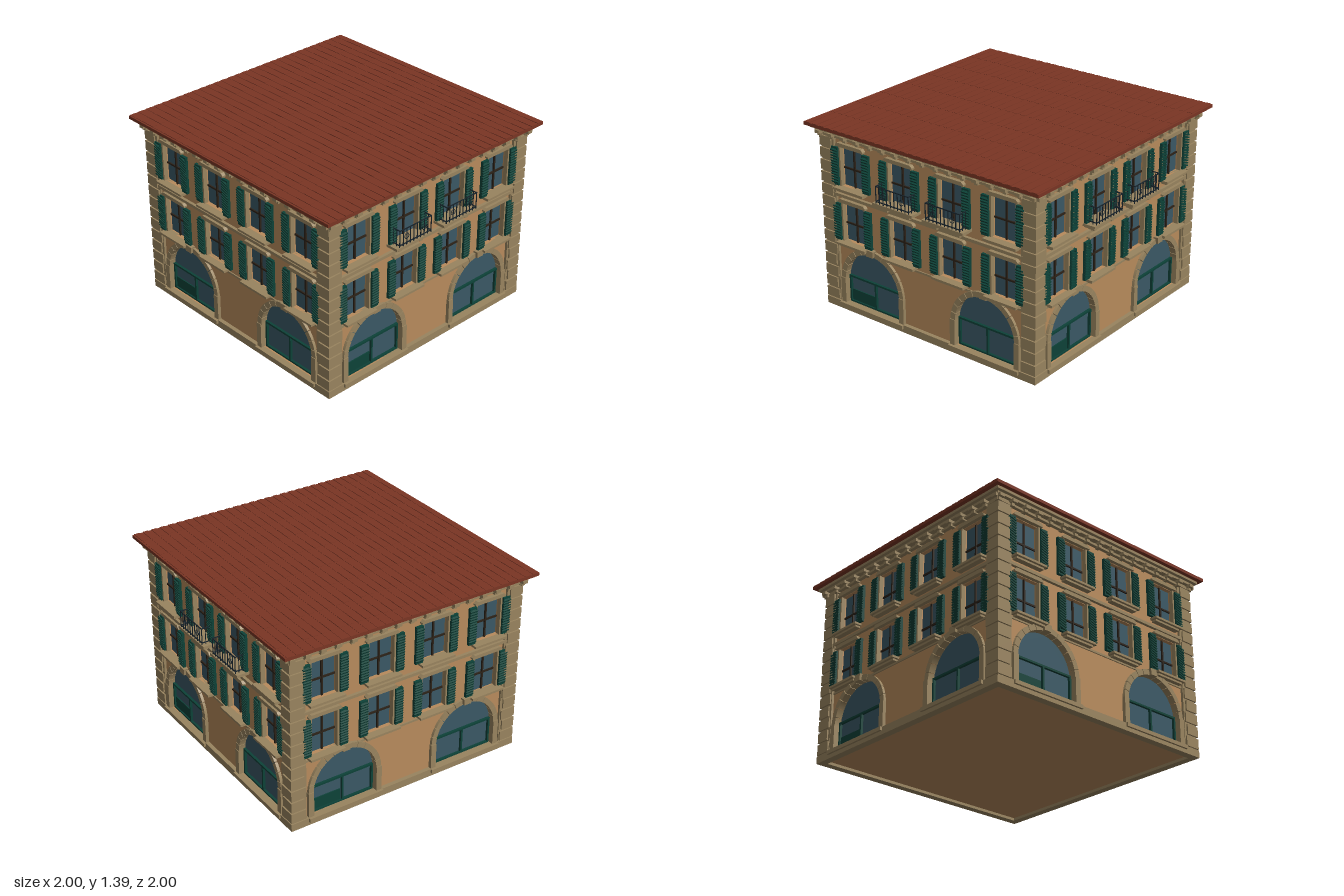
import * as THREE from 'three';
import { mergeGeometries } from 'three/addons/utils/BufferGeometryUtils.js';

const mat = (name, color) => {
  const m = new THREE.MeshStandardMaterial({ color });
  m.name = name;
  return m;
};

const WALL = 0.9, ARCH_R = 0.255, ARCH_Y = 0.235;
const ARCHES = [-0.5, 0.5];
const WINDOWS = [-0.657, -0.218, 0.218, 0.657];
const FLOORS = [{ y0: 0.53, y1: 0.82 }, { y0: 0.942, y1: 1.235 }];

const box = (x0, x1, y0, y1, z0, z1) =>
  new THREE.BoxGeometry(x1 - x0, y1 - y0, z1 - z0)
    .translate((x0 + x1) / 2, (y0 + y1) / 2, (z0 + z1) / 2);

const extrude = (shape, z0, z1) =>
  new THREE.ExtrudeGeometry(shape, { depth: z1 - z0, bevelEnabled: false, curveSegments: 20 }).translate(0, 0, z0);

const poly = pts => new THREE.Shape(pts.map(p => new THREE.Vector2(p[0], p[1])));

// Round-headed outline of an arcade opening
function archOutline(cx, Type = THREE.Shape) {
  const s = new Type();
  s.moveTo(cx - ARCH_R, 0.055);
  s.lineTo(cx + ARCH_R, 0.055);
  s.lineTo(cx + ARCH_R, ARCH_Y);
  s.absarc(cx, ARCH_Y, ARCH_R, 0, Math.PI, false);
  s.lineTo(cx - ARCH_R, 0.055);
  return s;
}

// Merges the pieces of one part into a named mesh
function part(group, name, material, geos) {
  const mesh = new THREE.Mesh(mergeGeometries(geos.map(g => (g.index ? g.toNonIndexed() : g))), material);
  mesh.name = name;
  group.add(mesh);
}

function buildFacade(M, hasBalconies, rolledSlats) {
  const g = new THREE.Group();

  // Wall with openings
  const wall = poly([[-WALL, 0.02], [WALL, 0.02], [WALL, 1.33], [-WALL, 1.33]]);
  ARCHES.forEach(cx => wall.holes.push(archOutline(cx, THREE.Path)));
  for (const { y0, y1 } of FLOORS) for (const cx of WINDOWS) {
    const p = new THREE.Path();
    p.moveTo(cx - 0.1, y0);
    p.lineTo(cx + 0.1, y0);
    p.lineTo(cx + 0.1, y1);
    p.lineTo(cx - 0.1, y1);
    p.lineTo(cx - 0.1, y0);
    wall.holes.push(p);
  }
  part(g, 'wall', M.plaster, [extrude(wall, 0.85, WALL)]);

  // Plinth, string courses and cornice brackets
  const bands = [
    box(-0.93, 0.93, 0, 0.055, 0.875, 0.93),
    box(-0.81, 0.81, 0.488, 0.503, 0.89, 0.908),
    box(-0.925, 0.925, 0.863, 0.885, 0.89, 0.922),
    box(-0.925, 0.925, 1.293, 1.31, 0.89, 0.925),
  ];
  part(g, 'stringCourses', M.stone, bands);
  const brackets = [];
  for (let i = 0; i < 17; i++) {
    const x = -0.92 + i * 0.115;
    brackets.push(box(x - 0.02, x + 0.02, 1.305, 1.328, 0.9, 0.96));
    brackets.push(box(x - 0.014, x + 0.014, 1.284, 1.306, 0.9, 0.94));
  }
  part(g, 'corniceBrackets', M.stone, brackets);

  // Arcade: glass, surrounds, shop fronts
  const glass = [], surround = [], shop = [];
  for (const cx of ARCHES) {
    glass.push(extrude(archOutline(cx), 0.862, 0.87));
    for (const s of [-1, 1]) {
      const a = cx + s * 0.25, b = cx + s * 0.292;
      surround.push(box(Math.min(a, b), Math.max(a, b), 0.05, ARCH_Y + 0.01, 0.87, 0.925));
    }
    surround.push(box(cx - 0.295, cx + 0.295, 0.028, 0.055, 0.9, 0.945));
    const n = 13;
    for (let i = 0; i < n; i++) {
      const key = i === 6, a0 = (i / n) * Math.PI + 0.008, a1 = ((i + 1) / n) * Math.PI - 0.008;
      const v = new THREE.Shape();
      v.absarc(cx, ARCH_Y, key ? 0.298 : 0.289, a0, a1, false);
      v.absarc(cx, ARCH_Y, 0.25, a1, a0, true);
      surround.push(extrude(v, 0.87, key ? 0.935 : 0.92));
    }
    const l = cx - 0.245, r = cx + 0.245;
    shop.push(box(l, r, 0.055, 0.067, 0.866, 0.888), box(l, r, 0.248, 0.262, 0.866, 0.888));
    for (const x of [l, cx - 0.007, r - 0.014]) shop.push(box(x, x + 0.014, 0.055, 0.26, 0.866, 0.888));
  }
  shop.push(box(-0.73, -0.515, 0.065, 0.15, 0.866, 0.878));
  part(g, 'archSurrounds', M.stone, surround);
  part(g, 'shopFronts', M.green, shop);

  // Upper windows: panes, bars, surrounds and louvred shutters
  const bars = [], trim = [], shutters = [];
  FLOORS.forEach(({ y0, y1 }, f) => WINDOWS.forEach((cx, w) => {
    glass.push(box(cx - 0.105, cx + 0.105, y0 - 0.005, y1 + 0.005, 0.862, 0.87));
    const ym = y0 + (y1 - y0) * 0.45;
    bars.push(box(cx - 0.006, cx + 0.006, y0, y1, 0.866, 0.882));
    bars.push(box(cx - 0.1, cx + 0.1, ym - 0.006, ym + 0.006, 0.866, 0.88));
    for (const s of [-1, 1]) {
      const tx = cx + s * 0.106;
      trim.push(box(tx - 0.007, tx + 0.007, y0, y1 + 0.005, 0.88, 0.912));
      // Shutter leaf
      const sx = cx + s * 0.141, b = y0 + 0.005, t = y1 - 0.008;
      for (const e of [-1, 1]) {
        const ex = sx + e * 0.025;
        shutters.push(box(ex - 0.004, ex + 0.004, b, t, 0.905, 0.925));
      }
      for (const y of [b, t - 0.012]) shutters.push(box(sx - 0.029, sx + 0.029, y, y + 0.012, 0.905, 0.925));
      for (let i = 0; i < 13; i++) {
        const slat = new THREE.BoxGeometry(0.06, 0.011, 0.018);
        if (rolledSlats) slat.rotateZ(-0.3);
        else slat.rotateX(0.4);
        shutters.push(slat.translate(sx, b + 0.024 + (i * (t - b - 0.048)) / 12, 0.923));
      }
    }
    // Hood with splayed ends
    trim.push(extrude(poly([[cx - 0.127, y1 + 0.003], [cx + 0.127, y1 + 0.003], [cx + 0.127, y1 + 0.014],
      [cx + 0.11, y1 + 0.03], [cx - 0.11, y1 + 0.03], [cx - 0.127, y1 + 0.014]]), 0.89, 0.928));
    if (!(hasBalconies && f === 1 && (w === 1 || w === 2))) {
      trim.push(box(cx - 0.135, cx + 0.135, y0 - 0.016, y0, 0.88, 0.958));
      trim.push(box(cx - 0.12, cx + 0.12, y0 - 0.03, y0 - 0.016, 0.88, 0.94));
    }
  }));
  part(g, 'glass', M.glass, glass);
  part(g, 'windowBars', M.wood, bars);
  part(g, 'windowSurrounds', M.stone, trim);
  part(g, 'shutters', M.green, shutters);

  // Balconies on the two middle upper windows
  if (hasBalconies) {
    const slab = [], rail = [];
    for (const cx of [WINDOWS[1], WINDOWS[2]]) {
      slab.push(box(cx - 0.175, cx + 0.175, 0.93, 0.948, 0.88, 0.995));
      slab.push(box(cx - 0.16, cx + 0.16, 0.917, 0.93, 0.88, 0.98));
      for (const s of [-1, 1]) {
        const bx = cx + s * 0.098;
        slab.push(box(bx - 0.013, bx + 0.013, 0.882, 0.917, 0.89, 0.95));
        const ex = cx + s * 0.145;
        for (const y of [0.96, 1.068]) rail.push(box(ex - 0.003, ex + 0.003, y, y + 0.006, 0.9, 0.991));
        for (const z of [0.93, 0.96]) rail.push(box(ex - 0.002, ex + 0.002, 0.948, 1.07, z - 0.002, z + 0.002));
        rail.push(new THREE.TorusGeometry(0.019, 0.0025, 6, 20).translate(cx + s * 0.081, 1.012, 0.988));
      }
      for (const y of [0.96, 1.068]) rail.push(box(cx - 0.148, cx + 0.148, y, y + 0.006, 0.985, 0.991));
      for (let i = 0; i < 10; i++) {
        const x = cx - 0.145 + i * (0.29 / 9);
        rail.push(box(x - 0.0025, x + 0.0025, 0.948, 1.07, 0.9855, 0.9905));
      }
    }
    part(g, 'balconySlabs', M.stone, slab);
    part(g, 'balconyRailings', M.iron, rail);
  }
  return g;
}

export function createModel() {
  const M = {
    plaster: mat('plaster', 0xb88b5c), stone: mat('stone', 0x99845f), roof: mat('roof tile', 0x7a3524),
    glass: mat('glass', 0x3a5865), green: mat('shutter green', 0x0d4238), wood: mat('dark wood', 0x2c2218),
    iron: mat('iron', 0x18242c),
  };
  const model = new THREE.Group();
  model.name = 'townHouse';

  // Four facades
  ['front', 'right', 'back', 'left'].forEach((side, i) => {
    const f = buildFacade(M, i < 2, i % 2 === 1);
    f.name = side + 'Facade';
    f.rotation.y = (i * Math.PI) / 2;
    model.add(f);
  });

  // Corner piers with rusticated blocks
  const piers = [];
  for (const sx of [-1, 1]) for (const sz of [-1, 1]) {
    const corner = (a, b, y0, y1) => {
      const c = (sx * (a + b)) / 2, d = (sz * (a + b)) / 2;
      piers.push(new THREE.BoxGeometry(b - a, y1 - y0, b - a).translate(c, (y0 + y1) / 2, d));
    };
    corner(0.805, 0.918, 0.03, 1.33);
    for (let i = 0; i < 14; i++) {
      const y = 0.062 + i * 0.0885;
      corner(i % 2 ? 0.825 : 0.812, 0.929, y, y + 0.074);
    }
  }
  part(model, 'cornerPiers', M.stone, piers);

  // Floor and cornice
  part(model, 'floor', M.plaster, [box(-0.89, 0.89, 0.02, 0.04, -0.89, 0.89)]);
  part(model, 'cornice', M.stone, [
    box(-0.945, 0.945, 1.325, 1.345, -0.945, 0.945),
    box(-0.97, 0.97, 1.343, 1.364, -0.97, 0.97),
  ]);

  // Roof slab with shallow overlapping tiles
  const tiles = [box(-1, 1, 1.362, 1.385, -1, 1)];
  const nx = 30, nz = 16, px = 2 / nx, pz = 2 / nz;
  for (let i = 0; i < nx; i++) for (let j = 0; j < nz; j++) {
    const x = -1 + i * px, z = -1 + j * pz;
    tiles.push(box(x + px * 0.2, x + px * 0.8, 1.384, 1.387 + (j % 2) * 0.002, z, z + pz));
  }
  part(model, 'roof', M.roof, tiles);
  return model;
}
